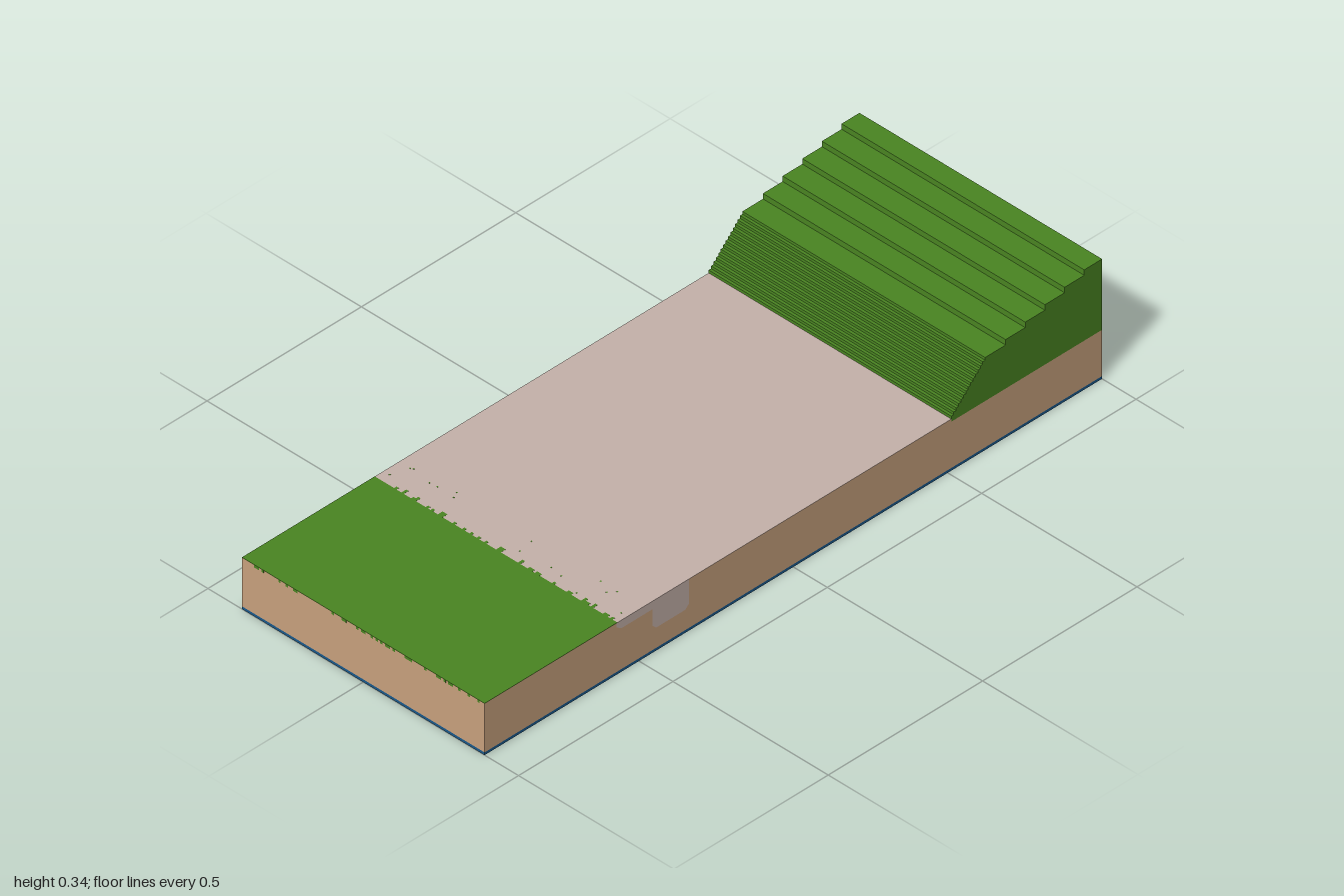
import * as THREE from 'three';
import { mergeGeometries } from 'three/addons/utils/BufferGeometryUtils.js';

const V = 1 / 128;         // unit block of the terrain
const W = 100 * V;         // width
const TOP = 19 * V;        // level of the flat ground
const SKIN = 0.0008;       // thickness of painted ground

const material = (name, color) => {
  const m = new THREE.MeshStandardMaterial({ color });
  m.name = name;
  return m;
};

// Extrude a [z, y] outline across the full width
function acrossWidth(points) {
  const shape = new THREE.Shape(points.map(([z, y]) => new THREE.Vector2(-z, y)));
  const g = new THREE.ExtrudeGeometry(shape, { depth: W, bevelEnabled: false });
  g.rotateY(Math.PI / 2);
  g.translate(-W / 2, 0, 0);
  return g;
}

function box(w, h, d, x, y, z) {
  return new THREE.BoxGeometry(w, h, d).translate(x, y, z);
}

export function createModel() {
  const group = new THREE.Group();
  const grass = material('grass green', 0x4a8522);
  const sand = material('sand', 0xc9a27e);
  const path = material('pale stone', 0xc6b2aa);
  const blue = material('deep blue', 0x1a5a8c);
  const add = (name, geometry, mat) => {
    const mesh = new THREE.Mesh(geometry, mat);
    mesh.name = name;
    group.add(mesh);
  };

  let seed = 7;
  const random = () => (seed = (seed * 16807) % 2147483647) / 2147483647;

  // Blue bottom layer
  add('bottomLayer', box(W, V, 2, 0, V / 2, 0), blue);

  // Channel cut across the ground: a shallow shelf and a deeper trough
  const under = TOP - SKIN;
  const channel = [
    [0.572, under], [0.572, 0.135], [0.556, 0.125], [0.456, 0.125], [0.456, 0.077],
    [0.444, 0.066], [0.35, 0.066], [0.338, 0.077], [0.338, under],
  ];

  // Sand block with the channel left open, lower under the hill
  add('sandBlock', acrossWidth([
    [1, V], [1, under], ...channel,
    [-0.512, under], [-0.512, 18 * V], [-1, 18 * V], [-1, V],
  ]), sand);
  add('channelFill', acrossWidth(channel), path);

  // Pale ground between lawn and hill
  add('paleGround', box(W, SKIN * 0.6, 1.084, 0, under + SKIN * 0.3, 0.03), path);

  // Lawn with a ragged rear edge, drawn in x and -z
  const lawn = new THREE.Shape();
  lawn.moveTo(-W / 2, -1);
  lawn.lineTo(W / 2, -1);
  for (let i = 100; i > 0; i--) {
    const edge = -0.57 + Math.floor(random() * random() * 3) * V;
    lawn.lineTo(-W / 2 + i * V, edge);
    lawn.lineTo(-W / 2 + (i - 1) * V, edge);
  }
  const lawnGeometry = new THREE.ExtrudeGeometry(lawn, { depth: SKIN, bevelEnabled: false });
  lawnGeometry.rotateX(-Math.PI / 2).translate(0, under, 0);
  add('lawn', lawnGeometry, grass);

  // Grass tufts hanging over the front edge and scattered on the pale ground
  const tufts = [];
  for (let i = 0; i < 100; i++) {
    const x = -W / 2 + (i + 0.5) * V;
    if (random() < 0.4) tufts.push(box(V, V, SKIN, x, TOP - V / 2, 1 - SKIN * 0.4));
    if (random() < 0.15) {
      tufts.push(box(V / 2, SKIN, V / 2, x, TOP - SKIN / 2, 0.48 + random() * 0.08));
    }
  }
  add('grassTufts', mergeGeometries(tufts), grass);

  // Hill: a steep run of single-block steps, then broad terraces
  const hill = [[-65.5 * V, 18 * V]];
  let y = 19;
  const riser = (z, height) => {
    hill.push([z * V, y * V]);
    y += height;
    hill.push([z * V, y * V]);
  };
  for (let i = 0; i < 15; i++) riser(-65.5 - i, 1);
  for (let i = 0; i < 5; i++) riser(-88 - i * 8.15, 2);
  hill.push([-1, y * V], [-1, 18 * V]);
  hill.splice(1, 1);
  add('terracedHill', acrossWidth(hill), grass);

  return group;
}
